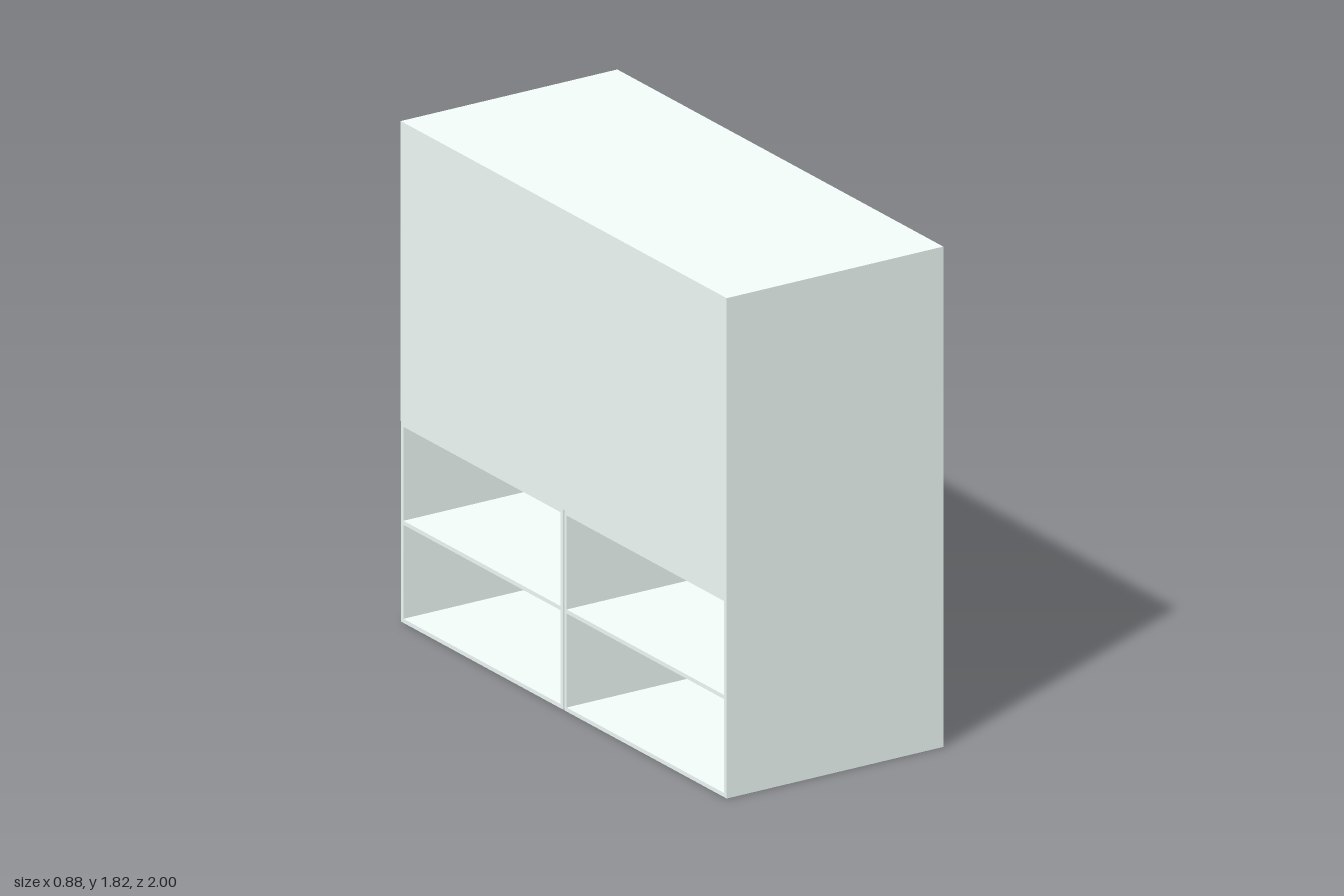
import * as THREE from 'three';

const W = 0.88, H = 1.817, L = 2;  // width (x), height (y), length (z)
const UNIT_H = 0.727;              // height of the open shelf units
const T = 0.015;                   // panel thickness
const GAP = 0.007;                 // slit between the two units

const material = new THREE.MeshStandardMaterial({ color: 0xf3fdfa });

// Box given by its minimum and maximum corners
function panel(parent, name, [x0, y0, z0], [x1, y1, z1]) {
  const mesh = new THREE.Mesh(new THREE.BoxGeometry(x1 - x0, y1 - y0, z1 - z0), material);
  mesh.position.set((x0 + x1) / 2, (y0 + y1) / 2, (z0 + z1) / 2);
  mesh.name = name;
  parent.add(mesh);
}

// Two-tier shelf unit, open towards -x and closed by a back panel at +x
function shelfUnit(name, z0, z1) {
  const unit = new THREE.Group();
  unit.name = name;
  const x0 = -W / 2, x1 = W / 2, back = x1 - T;

  panel(unit, 'backPanel', [back, 0, z0], [x1, UNIT_H, z1]);
  panel(unit, 'rearSide', [x0, 0, z0], [back, UNIT_H, z0 + T]);
  panel(unit, 'frontSide', [x0, 0, z1 - T], [back, UNIT_H, z1]);

  // Floor, middle shelf and top
  ['floor', 'middleShelf', 'topPanel'].forEach((part, i) => {
    const y = i * (UNIT_H - T) / 2;
    panel(unit, part, [x0, y, z0 + T], [back, y + T, z1 - T]);
  });
  return unit;
}

export function createModel() {
  const model = new THREE.Group();
  model.name = 'cabinet';

  // Closed upper body resting on the units
  panel(model, 'upperBody', [-W / 2, UNIT_H, -L / 2], [W / 2, H, L / 2]);

  // Two units end to end; the rear one sits a hair inside the upper body
  model.add(shelfUnit('frontShelfUnit', GAP / 2, L / 2));
  model.add(shelfUnit('rearShelfUnit', -L / 2 + 0.002, -GAP / 2));
  return model;
}
